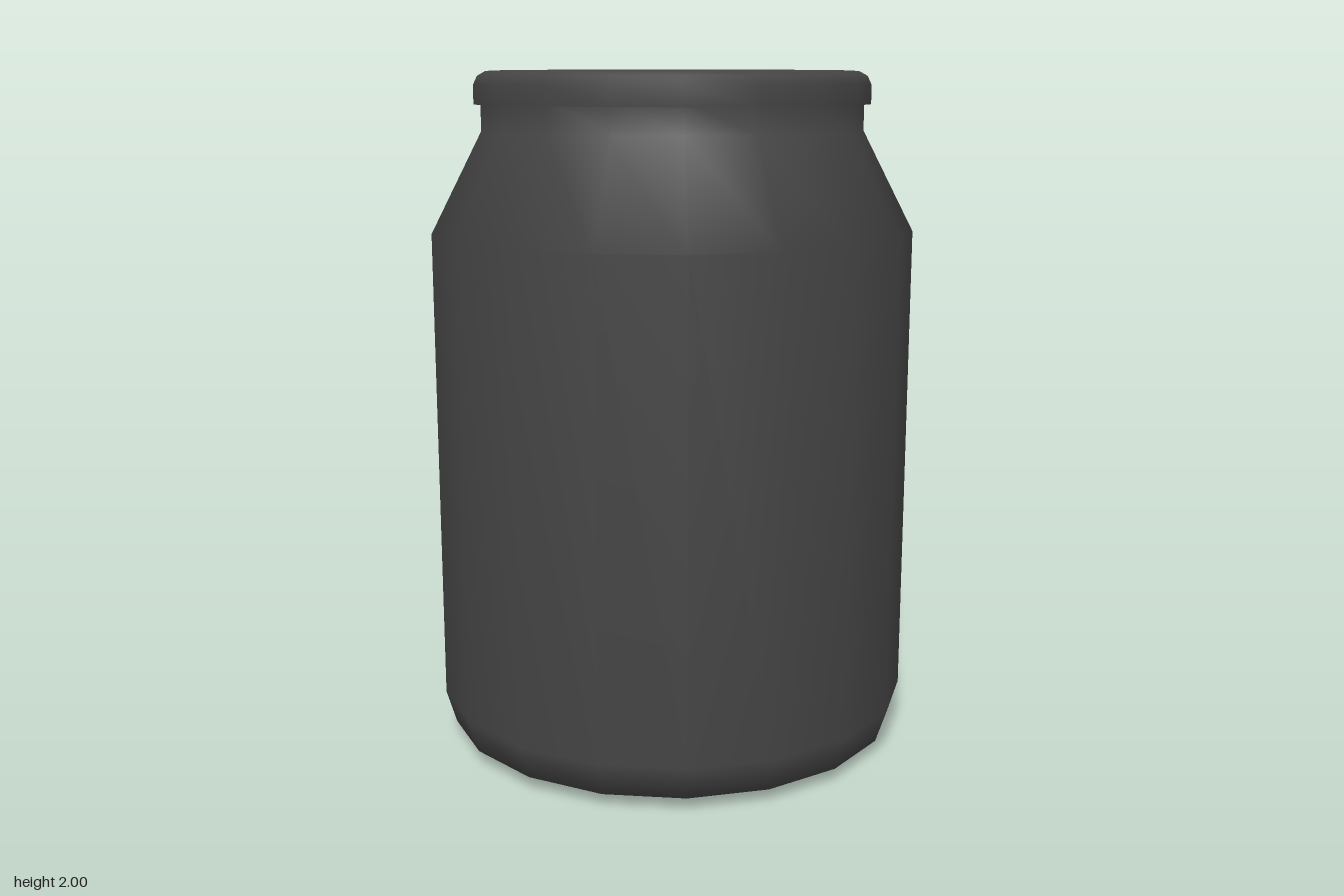
import * as THREE from 'three';

const SIDES = 18;

// Revolve a [radius, height] profile, listed from the bottom up
function revolve(name, profile, material) {
  const points = profile.map(([r, y]) => new THREE.Vector2(r, y));
  const mesh = new THREE.Mesh(new THREE.LatheGeometry(points, SIDES, Math.PI / 2), material);
  mesh.name = name;
  return mesh;
}

export function createModel() {
  const group = new THREE.Group();
  group.name = 'jar';
  const material = new THREE.MeshStandardMaterial({ color: 0x444444 });

  // Body with bevelled base, straight wall, sloped shoulder and neck
  group.add(revolve('body', [
    [0, 0], [0.55, 0], [0.57, 0], [0.68, 0.04], [0.71, 0.14],
    [0.71, 1.54], [0.56, 1.83], [0.56, 1.92],
  ], material));

  // Lid with rounded upper edge
  group.add(revolve('lid', [
    [0.58, 1.905], [0.58, 1.96], [0.568, 1.985], [0.545, 1.998], [0.525, 2], [0, 2],
  ], material));

  // Underside of the lid rim, kept apart so its edge stays sharp
  group.add(revolve('lidUnderside', [[0.54, 1.905], [0.58, 1.905]], material));

  return group;
}
